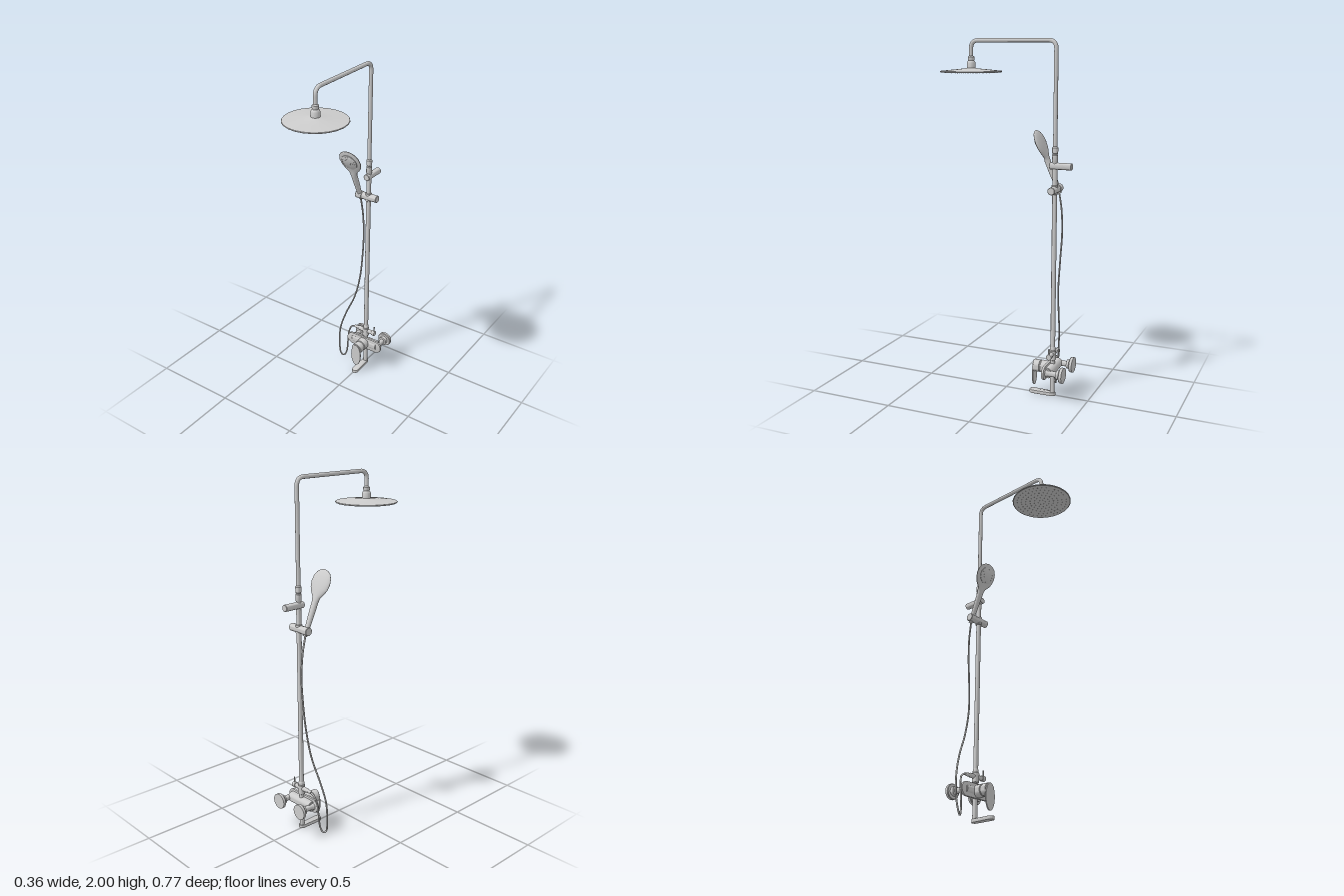
import * as THREE from 'three';
import { toCreasedNormals, mergeGeometries } from 'three/addons/utils/BufferGeometryUtils.js';

const V = (x, y, z) => new THREE.Vector3(x, y, z);
const CX = 0.005;    // column axis
const CZ = -0.288;
const UP = V(0, 1, 0), FRONT = V(0, 0, 1), SIDE = V(1, 0, 0);

export function createModel() {
  const root = new THREE.Group();
  const chrome = new THREE.MeshStandardMaterial({ color: 0xcccccc });
  chrome.name = 'chrome';

  function add(name, geo, pos = V(0, 0, 0), parent = root) {
    const m = new THREE.Mesh(geo, chrome);
    m.name = name;
    m.position.copy(pos);
    parent.add(m);
    return m;
  }
  // Turned part: [radius, distance] pairs along an axis
  function turned(name, profile, pos, dir = UP, sides = 24, parent = root) {
    const pts = profile.map(([r, d]) => new THREE.Vector2(r, d));
    const m = add(name, toCreasedNormals(new THREE.LatheGeometry(pts, sides), 0.6), pos, parent);
    m.quaternion.setFromUnitVectors(UP, dir);
    return m;
  }
  const rod = (name, r, a, b, pos, dir, sides) =>
    turned(name, [[0, a], [r * 0.9, a], [r, a + r * 0.1], [r, b - r * 0.1], [r * 0.9, b], [0, b]], pos, dir, sides);
  // Rings of small nozzles on a disc facing -y
  function nozzles(rings, r, h) {
    const list = [];
    for (const [radius, count] of rings) {
      for (let i = 0; i < count; i++) {
        const a = (i / count) * Math.PI * 2;
        list.push(new THREE.CylinderGeometry(r, r * 0.8, h, 6)
          .translate(Math.cos(a) * radius, 0, Math.sin(a) * radius));
      }
    }
    return mergeGeometries(list);
  }

  // Riser and overhead arm
  rod('lowerRiser', 0.0135, 0.008, 1.4, V(CX, 0, CZ));
  const arm = new THREE.CurvePath();
  const top = 1.9885, bend = 0.045, headZ = 0.209;
  arm.add(new THREE.LineCurve3(V(CX, 1.38, CZ), V(CX, top - bend, CZ)));
  arm.add(new THREE.QuadraticBezierCurve3(V(CX, top - bend, CZ), V(CX, top, CZ), V(CX, top, CZ + bend)));
  arm.add(new THREE.LineCurve3(V(CX, top, CZ + bend), V(CX, top, headZ - bend)));
  arm.add(new THREE.QuadraticBezierCurve3(V(CX, top, headZ - bend), V(CX, top, headZ), V(CX, top - bend, headZ)));
  arm.add(new THREE.LineCurve3(V(CX, top - bend, headZ), V(CX, 1.87, headZ)));
  add('overheadArm', new THREE.TubeGeometry(arm, 160, 0.0115, 16));
  turned('riserCollar', [[0.0135, 1.345], [0.0165, 1.35], [0.0165, 1.385], [0.014, 1.388],
    [0.014, 1.393], [0.0165, 1.396], [0.0165, 1.425], [0.011, 1.432]], V(CX, 0, CZ));

  // Overhead shower head
  const head = new THREE.Group();
  head.name = 'overheadShower';
  head.position.set(CX, 0, headZ);
  root.add(head);
  turned('rainDisc', [[0, 1.817], [0.168, 1.817], [0.172, 1.82], [0.17, 1.824], [0.1, 1.831],
    [0.04, 1.837], [0.022, 1.841], [0, 1.841]], V(0, 0, 0), UP, 24, head);
  turned('swivelNeck', [[0.024, 1.837], [0.024, 1.868], [0.02, 1.876], [0.016, 1.88], [0.018, 1.886],
    [0.018, 1.9], [0.011, 1.906]], V(0, 0, 0), UP, 24, head);
  add('rainNozzles', nozzles([[0.02, 6], [0.045, 12], [0.07, 18], [0.095, 24], [0.12, 30], [0.145, 36]], 0.002, 0.004),
    V(0, 1.816, 0), head);

  // Upper wall bracket
  rod('wallBracket', 0.019, -0.385, -0.26, V(CX, 1.325, 0), FRONT);

  // Sliding holder
  rod('sliderBar', 0.021, -0.05, 0.065, V(0, 1.195, CZ), SIDE);
  rod('sliderHolder', 0.023, -0.075, -0.033, V(0, 1.195, CZ), SIDE);
  rod('sliderSleeve', 0.018, 1.17, 1.22, V(CX, 0, CZ));

  // Hand shower: a turned outline flattened to its own thickness at each station
  const stations = [[0, 0, 1], [0.012, 0, 1], [0.014, 0.06, 1], [0.017, 0.13, 0.95], [0.019, 0.19, 0.85],
    [0.028, 0.215, 0.58], [0.05, 0.24, 0.36], [0.064, 0.263, 0.3], [0.071, 0.295, 0.27],
    [0.065, 0.327, 0.25], [0.05, 0.35, 0.24], [0.028, 0.364, 0.22], [0, 0.37, 0.2]];
  const handGeo = new THREE.LatheGeometry(stations.map(([r, d]) => new THREE.Vector2(r, d)), 32);
  const p = handGeo.attributes.position;
  for (let i = 0; i < p.count; i++) {
    const [, d, flat] = stations[i % stations.length];
    const faceSide = p.getZ(i) > 0 && d > 0.2 ? 0.6 : 1;
    p.setZ(i, p.getZ(i) * flat * faceSide);
  }
  handGeo.computeVertexNormals();
  const hand = new THREE.Group();
  hand.name = 'handShower';
  hand.position.set(-0.053, 1.168, -0.298);
  hand.rotation.x = 0.405;
  root.add(hand);
  add('handShowerBody', handGeo, V(0, 0, 0), hand);
  turned('sprayFace', [[0, 0], [0.05, 0], [0.05, 0.008], [0.047, 0.01], [0, 0.01]], V(0, 0.297, 0.003), FRONT, 28, hand);
  add('sprayNozzles', nozzles([[0.012, 6], [0.026, 10], [0.04, 16]], 0.0016, 0.003), V(0, 0.297, 0.0135), hand)
    .rotation.x = Math.PI / 2;

  // Flexible hose
  const hose = new THREE.CatmullRomCurve3([
    V(-0.053, 1.175, -0.293), V(-0.048, 1.07, -0.311), V(-0.043, 0.94, -0.317), V(-0.042, 0.8, -0.309),
    V(-0.052, 0.62, -0.296), V(-0.085, 0.47, -0.288), V(-0.137, 0.34, -0.275), V(-0.17, 0.22, -0.26),
    V(-0.172, 0.1, -0.253), V(-0.157, 0.028, -0.248), V(-0.14, 0.014, -0.255), V(-0.125, 0.045, -0.264),
    V(-0.12, 0.13, -0.272), V(-0.117, 0.2, -0.28), V(-0.1, 0.242, -0.288), V(-0.06, 0.254, CZ)]);
  add('hose', new THREE.TubeGeometry(hose, 160, 0.005, 8));

  // Diverter with its small lever
  turned('diverterCollar', [[0.0135, 0.215], [0.02, 0.22], [0.02, 0.272], [0.016, 0.276], [0.016, 0.29], [0.0135, 0.295]],
    V(CX, 0, CZ));
  turned('diverterValve', [[0, -0.078], [0.008, -0.078], [0.011, -0.045], [0.013, -0.04], [0.013, 0.05],
    [0.016, 0.052], [0.016, 0.072], [0, 0.072]], V(0, 0.253, CZ), SIDE);
  rod('diverterLever', 0.004, 0.25, 0.3, V(0.066, 0, CZ), UP, 10);

  // Mixer body with two wall connections
  const my = 0.168;
  rod('mixerBody', 0.03, -0.085, 0.095, V(0, my, CZ), SIDE);
  for (const s of [-1, 1]) {
    turned(s > 0 ? 'leftWallInlet' : 'rightWallInlet', [[0, -0.385], [0.044, -0.385], [0.044, -0.37], [0.041, -0.366],
      [0.026, -0.366], [0.026, -0.346], [0.016, -0.344], [0.016, -0.295], [0.021, -0.282],
      [0.036, -0.272], [0.036, -0.268], [0, -0.268]], V(CX + s * 0.087, my, 0), FRONT);
  }
  const plate = new THREE.Shape();
  plate.absarc(0.083, 0, 0.038, -Math.PI / 2, Math.PI / 2);
  plate.absarc(-0.083, 0, 0.038, Math.PI / 2, Math.PI * 1.5);
  const plateGeo = new THREE.ExtrudeGeometry(plate, {
    depth: 0.008, bevelSize: 0.003, bevelThickness: 0.003, bevelSegments: 2, curveSegments: 16 });
  add('mixerFront', toCreasedNormals(plateGeo, 0.6), V(CX, my, -0.276));

  // Control knob and hanging lever
  turned('controlKnob', [[0, -0.27], [0.036, -0.27], [0.036, -0.225], [0.032, -0.222], [0.032, -0.218],
    [0.035, -0.215], [0.035, -0.182], [0, -0.18]], V(CX, my, 0), FRONT);
  const leaf = new THREE.Shape();
  leaf.absellipse(0, 0, 0.034, 0.075, 0, Math.PI * 2);
  add('controlLever', toCreasedNormals(new THREE.ExtrudeGeometry(leaf,
    { depth: 0.007, bevelEnabled: false, curveSegments: 18 }), 0.6), V(CX, 0.126, -0.182));

  // Flat bath spout
  const spout = new THREE.Shape();
  spout.absarc(0, 0.288, 0.016, Math.PI, 0, true);
  spout.lineTo(0.019, 0.172);
  spout.absarc(0, 0.172, 0.019, 0, -Math.PI, true);
  const spoutGeo = new THREE.ExtrudeGeometry(spout, {
    depth: 0.014, bevelSize: 0.002, bevelThickness: 0.003, bevelSegments: 2, curveSegments: 14 });
  add('spout', toCreasedNormals(spoutGeo.rotateX(-Math.PI / 2), 0.6), V(CX, 0.004, 0));
  return root;
}
